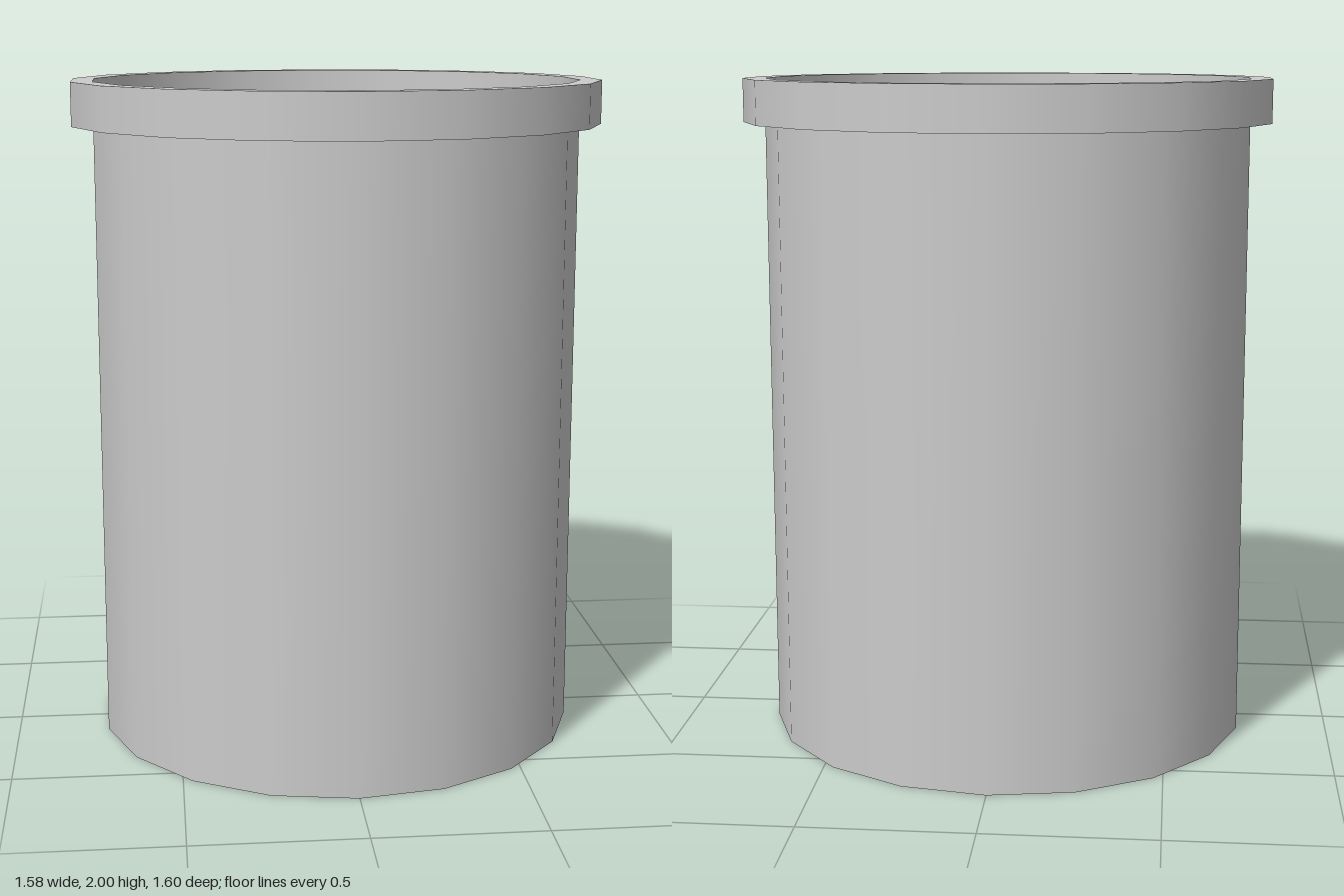
import * as THREE from 'three';

const SIDES = 18;
const HEIGHT = 2;
const COLLAR_HEIGHT = 0.13;
const BODY_RADIUS = 0.735;
const COLLAR_RADIUS = 0.8;

export function createModel() {
  const group = new THREE.Group();
  const material = new THREE.MeshStandardMaterial({ color: 0xcccccc, side: THREE.DoubleSide });

  const add = (name, geometry, y) => {
    const mesh = new THREE.Mesh(geometry, material);
    mesh.name = name;
    mesh.position.y = y;
    group.add(mesh);
  };
  // Open, smooth-shaded wall
  const wall = (radius, height) =>
    new THREE.CylinderGeometry(radius, radius, height, SIDES, 1, true);

  // Thin body wall, open at the bottom and running up inside the collar
  add('bodyWall', wall(BODY_RADIUS, HEIGHT), HEIGHT / 2);

  // Collar: outer band and flat top lip, open underneath
  add('collarBand', wall(COLLAR_RADIUS, COLLAR_HEIGHT), HEIGHT - COLLAR_HEIGHT / 2);
  add('collarLip',
    new THREE.RingGeometry(BODY_RADIUS, COLLAR_RADIUS, SIDES, 1, Math.PI / 2).rotateX(-Math.PI / 2),
    HEIGHT);

  // Recessed disc closing the top, level with the collar's lower edge
  add('recessedTop',
    new THREE.CircleGeometry(BODY_RADIUS, SIDES, Math.PI / 2).rotateX(-Math.PI / 2),
    HEIGHT - COLLAR_HEIGHT);

  return group;
}
